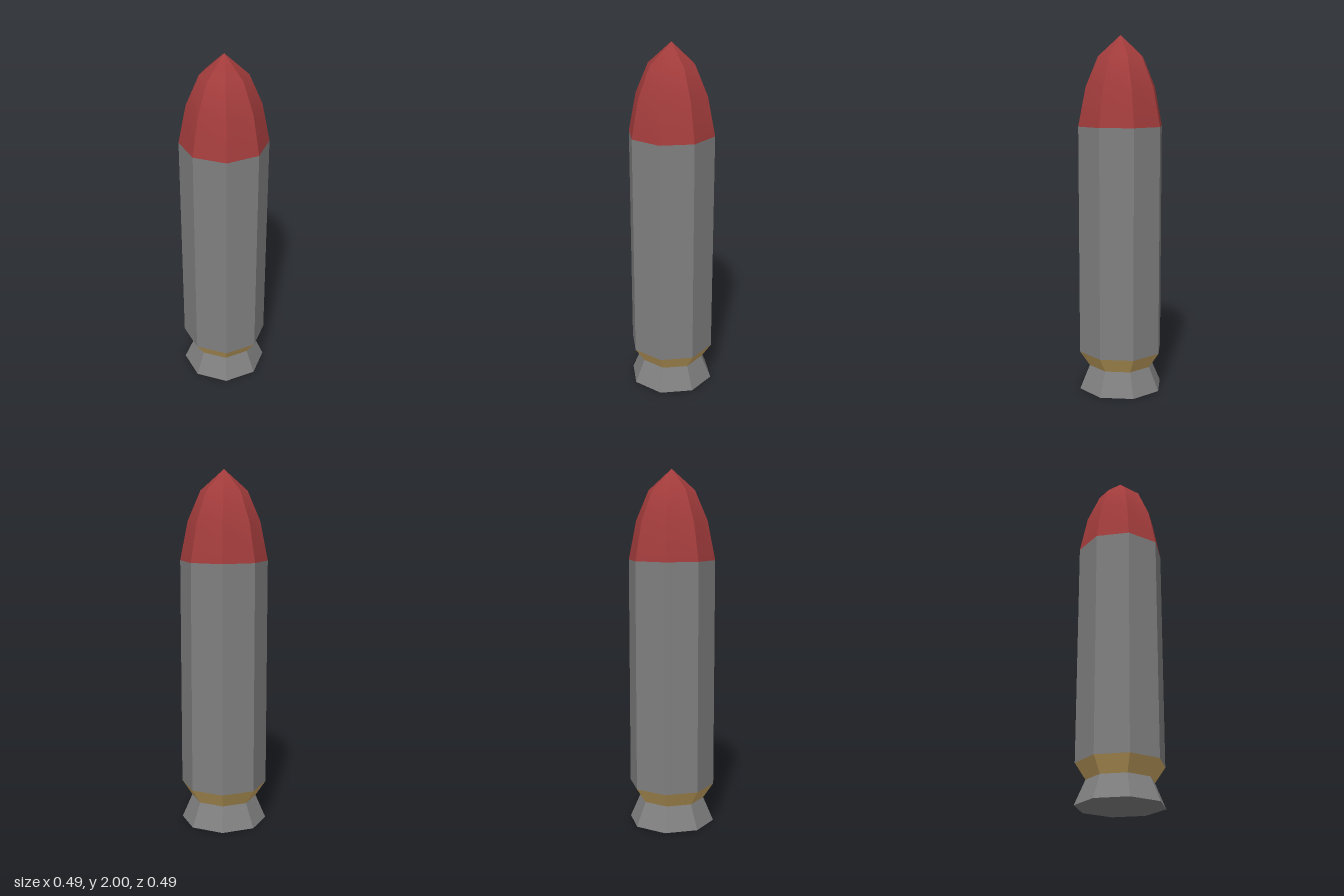
import * as THREE from 'three';
import { toCreasedNormals } from 'three/addons/utils/BufferGeometryUtils.js';

const SIDES = 8;
const R = 0.243;    // body and base rim radius
const NECK = 0.185; // groove radius

export function createModel() {
  const group = new THREE.Group();
  const grey = new THREE.MeshStandardMaterial({ color: 0x808080 });
  const red = new THREE.MeshStandardMaterial({ color: 0xa33c3c });
  const brass = new THREE.MeshStandardMaterial({ color: 0xcfac66 });

  // Eight-sided turned part from [radius, height] pairs, bottom to top
  const addTurned = (name, material, profile) => {
    const points = profile.map(([r, y]) => new THREE.Vector2(r, y));
    const geometry = new THREE.LatheGeometry(points, SIDES);
    geometry.deleteAttribute('normal');
    const mesh = new THREE.Mesh(toCreasedNormals(geometry, Math.PI / 6), material);
    mesh.name = name;
    group.add(mesh);
  };

  // Flared base with closed underside
  addTurned('base', grey, [[0, 0], [R, 0], [NECK, 0.135]]);
  // Coloured band widening from the groove to the body
  addTurned('grooveBand', brass, [[NECK, 0.135], [R, 0.222]]);
  // Long straight casing
  addTurned('casing', grey, [[R, 0.222], [R, 1.505]]);
  // Rounded nose with a pointed tip
  addTurned('nose', red, [[R, 1.505], [0.2, 1.72], [0.129, 1.885], [0, 2]]);

  return group;
}
